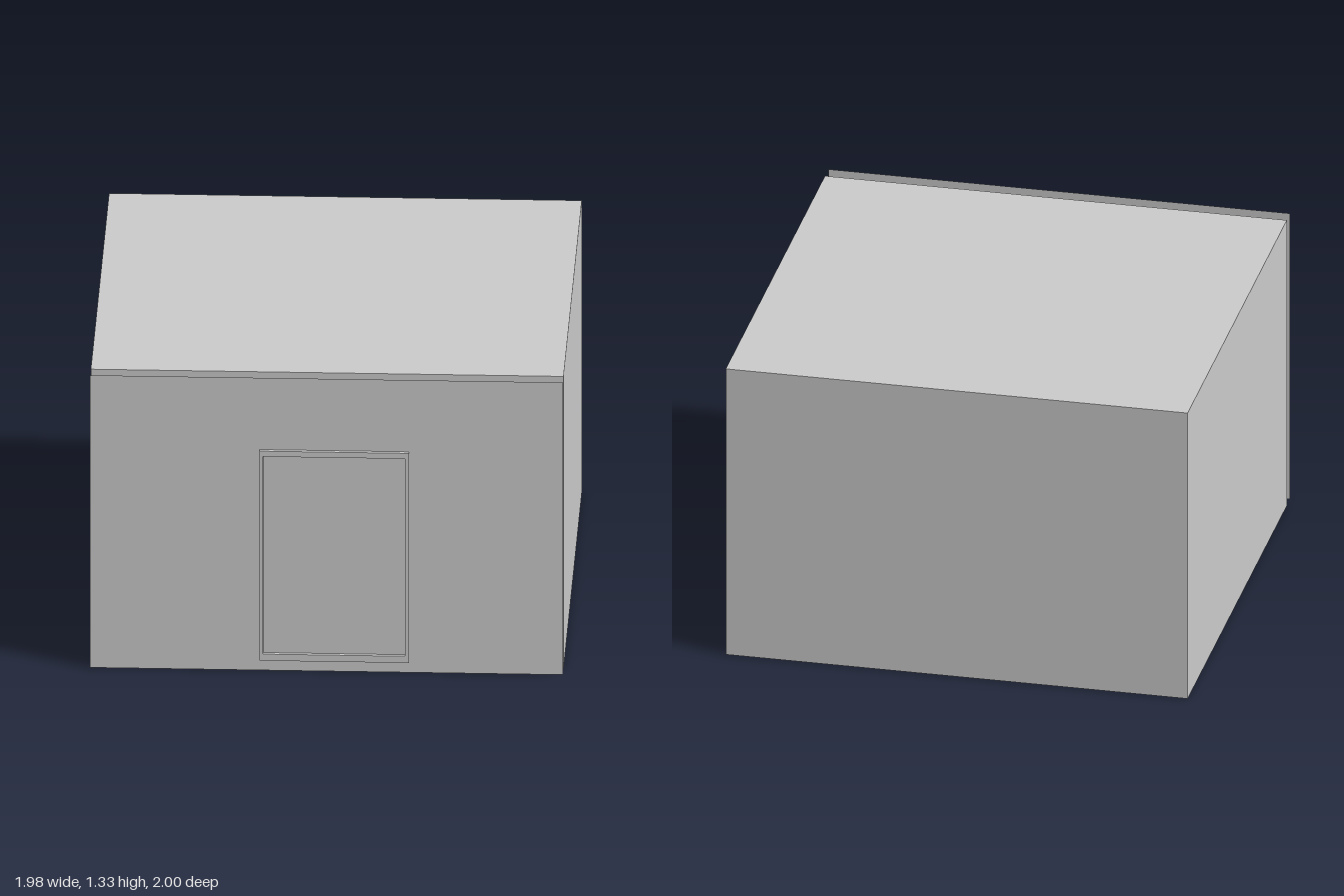
import * as THREE from 'three';

const material = new THREE.MeshStandardMaterial({ color: 0xcccccc, side: THREE.DoubleSide });

const WIDTH = 1.98, HEIGHT = 1.325;
const BACK = -1, FRONT = 0.917, FACADE = 0.983, FRAME_FRONT = 1;

function addMesh(group, name, geometry, x, y, z) {
  const mesh = new THREE.Mesh(geometry, material);
  mesh.name = name;
  mesh.position.set(x, y, z);
  group.add(mesh);
}

// Rectangle outline, traced onto a Shape or a Path
function rectangle(path, x0, x1, y0, y1) {
  path.moveTo(x0, y0);
  path.lineTo(x1, y0);
  path.lineTo(x1, y1);
  path.lineTo(x0, y1);
  path.closePath();
  return path;
}

export function createModel() {
  const group = new THREE.Group();
  group.name = 'building';

  // Plain block of the building
  const depth = FRONT - BACK;
  addMesh(group, 'buildingBody', new THREE.BoxGeometry(WIDTH, HEIGHT, depth),
    0, HEIGHT / 2, (FRONT + BACK) / 2);

  // Thin sheet standing just in front of the block
  addMesh(group, 'facadeSheet', new THREE.PlaneGeometry(WIDTH, HEIGHT), 0, HEIGHT / 2, FACADE);

  // Narrow door frame running from the block through the sheet
  const frame = rectangle(new THREE.Shape(), -0.28, 0.345, 0.05, 1.0);
  frame.holes.push(rectangle(new THREE.Path(), -0.265, 0.33, 0.08, 0.975));
  addMesh(group, 'doorFrame',
    new THREE.ExtrudeGeometry(frame, { depth: FRAME_FRONT - FRONT, bevelEnabled: false }),
    0, 0, FRONT);

  return group;
}
